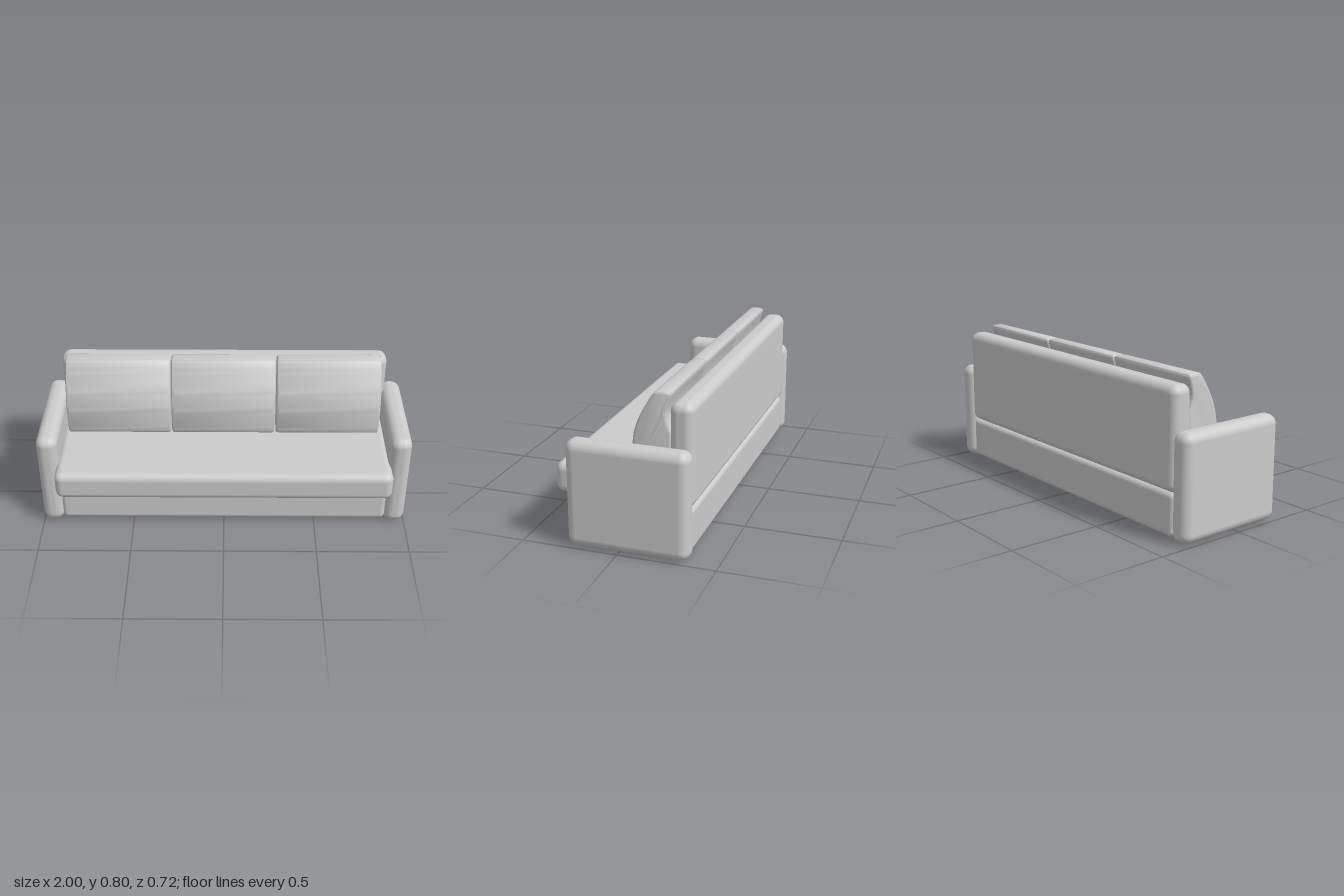
import * as THREE from 'three';
import { RoundedBoxGeometry } from 'three/addons/geometries/RoundedBoxGeometry.js';
import { toCreasedNormals } from 'three/addons/utils/BufferGeometryUtils.js';

const material = new THREE.MeshStandardMaterial({ color: 0xcccccc });

// Rounded block given by its min/max extents on each axis
function block(name, [x0, x1], [y0, y1], [z0, z1], radius) {
  const geometry = new RoundedBoxGeometry(x1 - x0, y1 - y0, z1 - z0, 6, radius);
  const mesh = new THREE.Mesh(geometry, material);
  mesh.position.set((x0 + x1) / 2, (y0 + y1) / 2, (z0 + z1) / 2);
  mesh.name = name;
  return mesh;
}

// Leaning cushion: side profile (z, y) extruded along x with soft edges
function cushionGeometry(width) {
  const bevel = 0.016;
  const profile = [
    [-0.05, 0.39], [-0.037, 0.42], [-0.033, 0.55], [-0.06, 0.65], [-0.1, 0.728],
    [-0.135, 0.784], [-0.16, 0.801], [-0.212, 0.801], [-0.224, 0.785],
    [-0.211, 0.735], [-0.204, 0.69], [-0.214, 0.645], [-0.229, 0.605],
    [-0.232, 0.55], [-0.23, 0.42], [-0.22, 0.39],
  ].map(([z, y]) => new THREE.Vector2(-z, y));
  const curve = new THREE.SplineCurve(profile);
  const shape = new THREE.Shape(curve.getPoints(75));
  const geometry = new THREE.ExtrudeGeometry(shape, {
    depth: width - 2 * bevel, steps: 1, bevelEnabled: true,
    bevelThickness: bevel, bevelSize: bevel, bevelOffset: -bevel, bevelSegments: 5,
  });
  geometry.translate(0, 0, bevel - width / 2);
  geometry.rotateY(Math.PI / 2); // shape x becomes -z, extrusion becomes x
  return toCreasedNormals(geometry, 0.8);
}

export function createModel() {
  const sofa = new THREE.Group();
  sofa.name = 'sofa';

  // Body
  sofa.add(
    block('base', [-0.895, 0.895], [0.015, 0.243], [-0.347, 0.25], 0.03),
    block('seatCushion', [-0.903, 0.903], [0.236, 0.397], [-0.24, 0.36], 0.042),
    block('backrest', [-0.903, 0.903], [0.238, 0.766], [-0.352, -0.232], 0.045),
  );

  // Armrests
  for (const [side, name] of [[1, 'leftArm'], [-1, 'rightArm']]) {
    const arm = block(name, [0.885, 1], [0.005, 0.557], [-0.36, 0.266], 0.05);
    arm.position.x *= side;
    sofa.add(arm);
  }

  // Three back cushions
  const cushion = cushionGeometry(0.572);
  for (let i = -1; i <= 1; i++) {
    const mesh = new THREE.Mesh(cushion, material);
    mesh.name = 'backCushion';
    mesh.position.x = i * 0.577 - 0.004;
    sofa.add(mesh);
  }

  // Low disc feet in two rows
  const foot = new THREE.CylinderGeometry(0.036, 0.032, 0.025, 24);
  for (const z of [0.165, -0.255]) {
    for (const x of [-0.82, -0.23, 0.23, 0.82]) {
      const mesh = new THREE.Mesh(foot, material);
      mesh.name = 'foot';
      mesh.position.set(x, 0.0125, z);
      sofa.add(mesh);
    }
  }
  return sofa;
}
